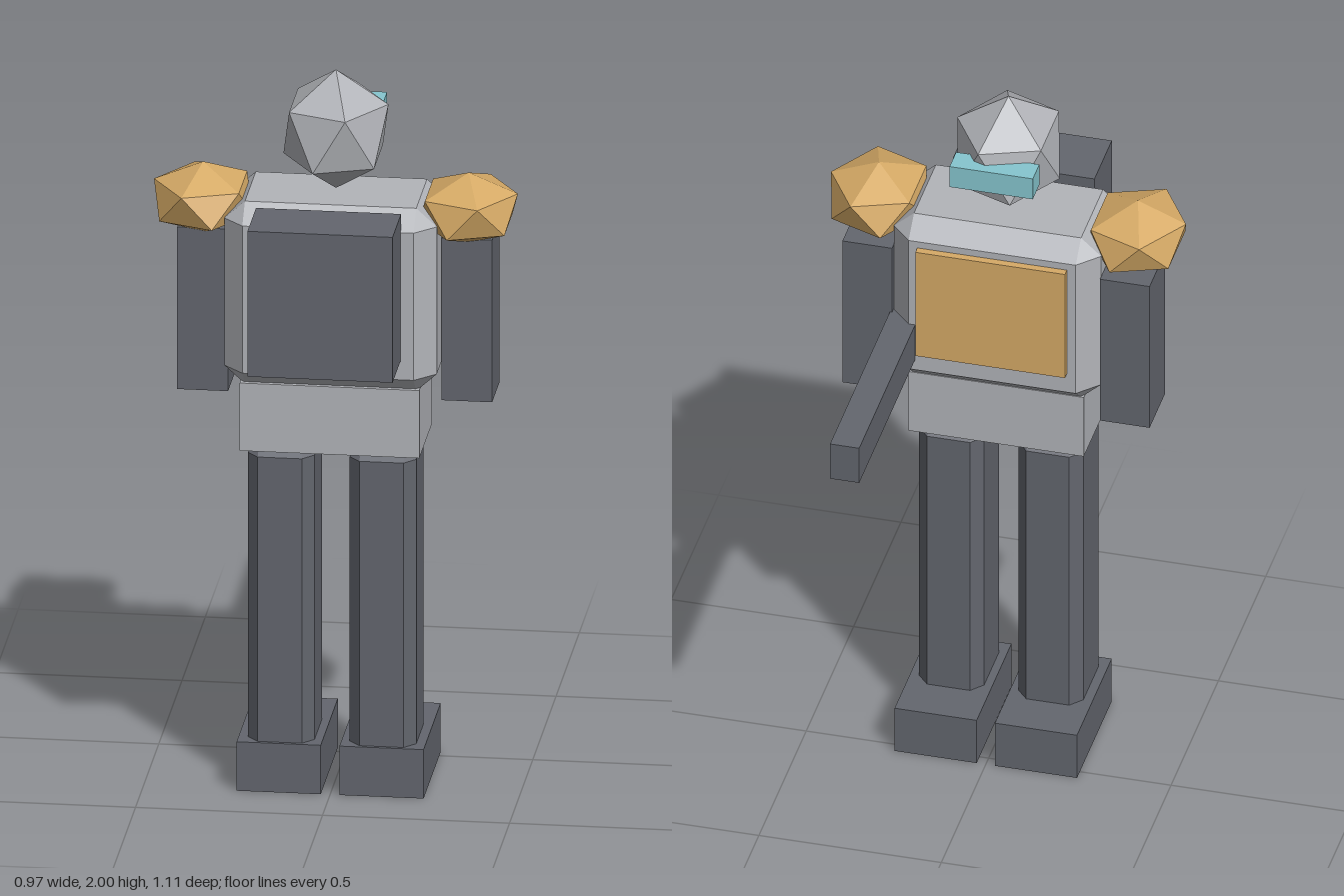
import * as THREE from 'three';
import { ConvexGeometry } from 'three/addons/geometries/ConvexGeometry.js';

const paint = (name, color) => {
  const m = new THREE.MeshStandardMaterial({ color });
  m.name = name;
  return m;
};

// Box from its limits on each axis
function block([x0, x1], [y0, y1], [z0, z1]) {
  return new THREE.BoxGeometry(x1 - x0, y1 - y0, z1 - z0)
    .translate((x0 + x1) / 2, (y0 + y1) / 2, (z0 + z1) / 2);
}

// Box with all edges and corners cut flat; cuts are given per axis
function chamferedBlock(xs, ys, zs, cut) {
  const points = [];
  const limits = [xs, ys, zs];
  for (let corner = 0; corner < 8; corner++) {
    for (let face = 0; face < 3; face++) {
      const p = limits.map(([lo, hi], axis) => {
        const inset = axis === face ? 0 : cut[axis];
        return (corner >> axis) & 1 ? hi - inset : lo + inset;
      });
      points.push(new THREE.Vector3(...p));
    }
  }
  return new ConvexGeometry(points);
}

// Twenty-sided gem standing on a point; its upper ring has a corner toward side * x
function gem(x, y, z, rx, ry, rz, side = 1) {
  const points = [new THREE.Vector3(x, y + ry, z), new THREE.Vector3(x, y - ry, z)];
  const ring = 2 / Math.sqrt(5), rise = 1 / Math.sqrt(5);
  for (let i = 0; i < 10; i++) {
    const a = i * Math.PI / 5;
    points.push(new THREE.Vector3(
      x + side * rx * ring * Math.cos(a),
      y + ry * (i % 2 ? -rise : rise),
      z + rz * ring * Math.sin(a)));
  }
  return new ConvexGeometry(points);
}

export function createModel() {
  const model = new THREE.Group();
  model.name = 'armouredFigure';

  const grey = paint('armourGrey', 0xb2b4b9);
  const dark = paint('darkGrey', 0x63666e);
  const gold = paint('gold', 0xd6aa66);
  const cyan = paint('visorCyan', 0x86c6cf);

  const add = (name, geometry, material) => {
    const mesh = new THREE.Mesh(geometry, material);
    mesh.name = name;
    model.add(mesh);
  };

  // Body
  add('torso', chamferedBlock([-0.284, 0.284], [1.145, 1.66], [0.037, 0.383], [0.055, 0.05, 0.057]), grey);
  add('waist', block([-0.24, 0.24], [0.964, 1.155], [0.08, 0.35]), grey);
  add('chestPlate', block([-0.205, 0.205], [1.255, 1.59], [0.016, 0.05]), gold);
  add('backpack', block([-0.194, 0.194], [1.248, 1.658], [0.37, 0.554]), dark);

  // Head
  add('head', gem(0, 1.833, 0.21, 0.157, 0.167, 0.182), grey);
  add('visor', block([-0.114, 0.114], [1.81, 1.876], [0.027, 0.096]), cyan);

  // Limbs, mirrored
  for (const [label, s] of [['left', 1], ['right', -1]]) {
    const span = (a, b) => (s > 0 ? [a, b] : [-b, -a]);
    add(label + 'Shoulder', gem(s * 0.355, 1.627, 0.21, 0.147, 0.098, 0.171, s), gold);
    add(label + 'Arm', block(span(0.285, 0.421), [1.09, 1.547], [0.078, 0.238]), dark);
    add(label + 'Leg', chamferedBlock(span(0.047, 0.225), [0.1, 0.965], [0.1, 0.327], [0.03, 0.025, 0.034]), dark);
    add(label + 'Foot', block(span(0.025, 0.25), [0, 0.138], [-0.03, 0.337]), dark);
  }

  // Long barrel held beside the body
  add('barrel', block([0.211, 0.291], [1.228, 1.34], [-0.554, 0.1]), dark);

  return model;
}
